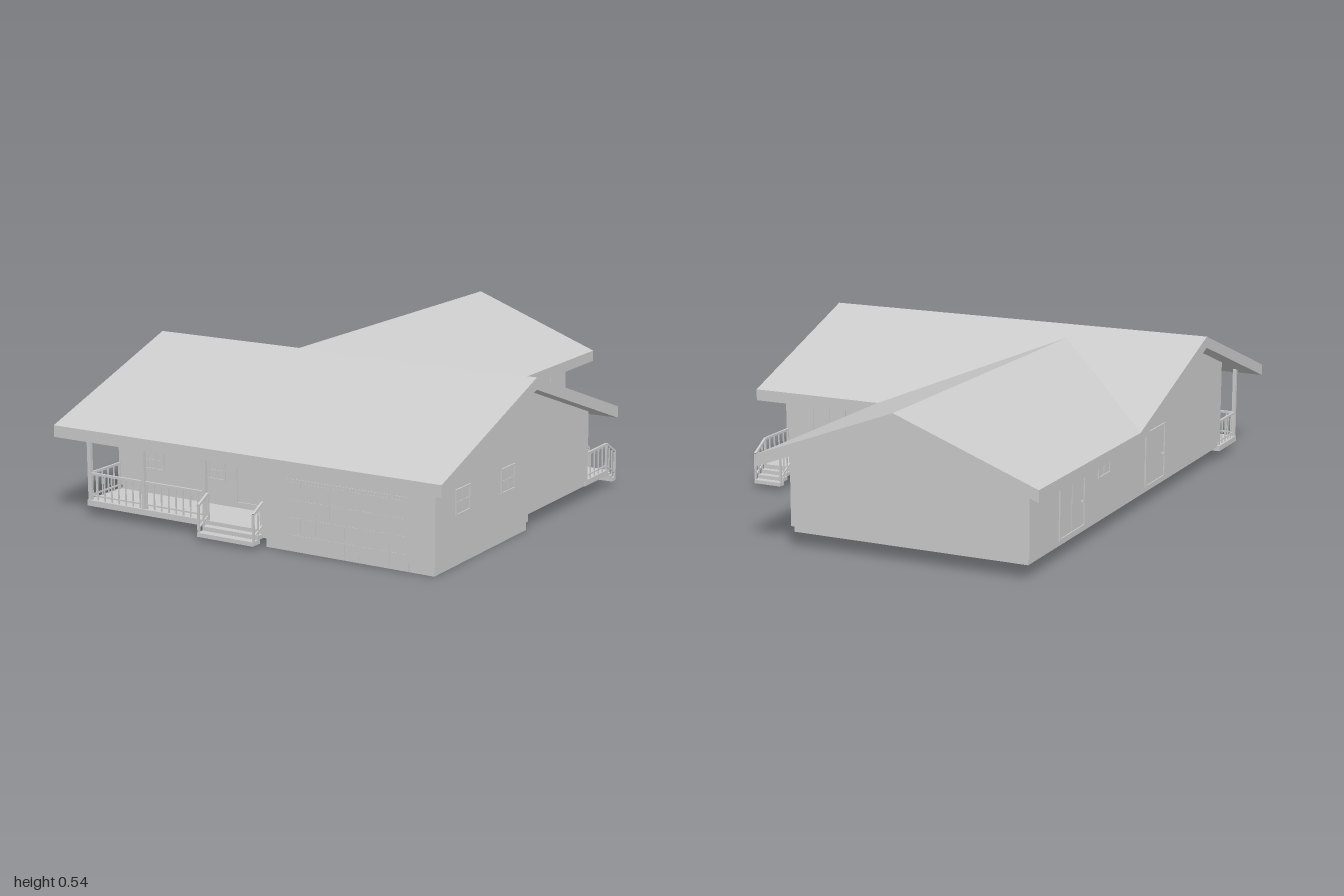
import * as THREE from 'three';

const V = (x, y, z) => new THREE.Vector3(x, y, z);
const mat = new THREE.MeshStandardMaterial({ color: 0xcccccc, flatShading: true });
// the whole plan leans very slightly: x shifts with z
const lean = new THREE.Matrix4().set(1, 0, -0.008, 0, 0, 1, 0, 0, 0, 0, 1, 0, 0, 0, 0, 1);

// roof undersides
const underFront = z => 0.495 - 0.358 * Math.abs(z - 0.4);
const RIDGE = -0.249;
const underRear = x => 0.465 - 0.376 * Math.abs(x - RIDGE);

function add(parent, name, geo) {
  geo.applyMatrix4(lean);
  geo.computeVertexNormals();
  const m = new THREE.Mesh(geo, mat);
  m.name = name;
  parent.add(m);
  return m;
}

function group(parent, name) {
  const g = new THREE.Group();
  g.name = name;
  parent.add(g);
  return g;
}

// box given by its limits
function boxGeo(x0, x1, y0, y1, z0, z1) {
  return new THREE.BoxGeometry(x1 - x0, y1 - y0, z1 - z0)
    .translate((x0 + x1) / 2, (y0 + y1) / 2, (z0 + z1) / 2);
}
const box = (p, name, ...lim) => add(p, name, boxGeo(...lim));

// square bar between two points
function bar(p, name, a, b, t) {
  const d = b.clone().sub(a);
  const geo = new THREE.BoxGeometry(t, t, d.length());
  const m = new THREE.Matrix4().lookAt(b, a, Math.abs(d.y) > 0.99 * d.length() ? V(0, 0, 1) : V(0, 1, 0));
  geo.applyMatrix4(m.setPosition(a.clone().add(b).multiplyScalar(0.5)));
  return add(p, name, geo);
}

function extrude(pts, depth) {
  const s = new THREE.Shape(pts.map(q => new THREE.Vector2(q[0], q[1])));
  return new THREE.ExtrudeGeometry(s, { depth, bevelEnabled: false });
}
// (z, y) profile swept along x
const sweepX = (pts, x0, x1) =>
  extrude(pts.map(([z, y]) => [-z, y]), x1 - x0).rotateY(Math.PI / 2).translate(x0, 0, 0);
// (x, y) profile swept along z
const sweepZ = (pts, z0, z1) => extrude(pts, z1 - z0).translate(0, 0, z0);

// window or door laid on a wall; u runs along the wall, turn is the wall's facing angle
function opening(parent, name, turn, at, u, y0, y1, w, cols, rows, knob) {
  const g = group(parent, name);
  const place = geo => {
    geo.rotateY(turn);
    const c = Math.cos(turn), s = Math.sin(turn);
    return geo.translate(s * at + Math.abs(c) * u, 0, c * at + Math.abs(s) * u);
  };
  const piece = (n, ...l) => add(g, n, place(boxGeo(...l)));
  const h = w / 2, t = 0.006;
  piece('pane', -h, h, y0, y1, -0.004, 0.001);
  for (const s of [-1, 1]) piece('jamb', s * h - t / 2, s * h + t / 2, y0, y1, -0.004, 0.005);
  piece('head', -h, h, y1 - t, y1, -0.004, 0.005);
  piece('sill', -h, h, y0, y0 + t, -0.004, 0.005);
  for (let i = 1; i < cols; i++) {
    const x = -h + (w * i) / cols;
    piece('muntin', x - 0.0015, x + 0.0015, y0, y1, -0.004, 0.003);
  }
  for (let i = 1; i < rows; i++) {
    const y = y0 + ((y1 - y0) * i) / rows;
    piece('muntin', -h, h, y - 0.0015, y + 0.0015, -0.004, 0.003);
  }
  if (knob) piece('knob', h * 0.75, h * 0.75 + 0.008, 0.155, 0.163, 0, 0.01);
}

// railing between two floor points, level or sloping
function railing(parent, name, a, b, height) {
  const g = group(parent, name);
  const up = (p, h) => V(p.x, p.y + h, p.z);
  bar(g, 'topRail', up(a, height), up(b, height), 0.008);
  bar(g, 'bottomRail', up(a, 0.015), up(b, 0.015), 0.005);
  const n = Math.max(2, Math.round(a.distanceTo(b) / 0.03));
  for (let i = 0; i <= n; i++) {
    const p = a.clone().lerp(b, i / n);
    bar(g, 'baluster', p, up(p, height), i % n ? 0.004 : 0.007);
  }
}

export function createModel() {
  const house = new THREE.Group();
  house.name = 'house';

  // walls
  const walls = group(house, 'walls');
  add(walls, 'garageWing', sweepX([[0.92, 0.03], [0.32, 0.03], [0.32, 0.07], [-0.11, 0.07],
    [-0.11, underFront(-0.11)], [0.4, 0.495], [0.92, underFront(0.92)]], 0.035, 0.668));
  add(walls, 'livingWing', sweepX([[0.75, 0.07], [-0.11, 0.07],
    [-0.11, underFront(-0.11)], [0.4, 0.495], [0.75, underFront(0.75)]], -0.672, 0.036));
  add(walls, 'rearWing', sweepZ([[-0.672, 0.07], [0.17, 0.07], [0.17, underRear(0.17)],
    [RIDGE, 0.465], [-0.672, underRear(-0.672)]], -0.915, -0.1));

  // foundations
  const base = group(house, 'foundation');
  box(base, 'garageSlab', 0.042, 0.661, 0, 0.031, 0.32, 0.914);
  box(base, 'frontFoundation', -0.665, 0.661, 0.05, 0.071, -0.103, 0.745);
  box(base, 'rearFoundation', -0.665, 0.163, 0.05, 0.071, -0.907, -0.1);

  // front roof runs along x
  const roof = group(house, 'roof');
  add(roof, 'frontRoof', sweepX([[1, 0.28], [1, 0.32], [0.4, 0.535], [-0.2, 0.32],
    [-0.2, 0.28], [0.4, 0.495]], -0.741, 0.735));
  // rear roof runs along z, its front end mitred into the valley
  const half = 0.4925;
  const rear = sweepZ([[RIDGE - half, 0.28], [RIDGE - half, 0.32], [RIDGE, 0.505],
    [RIDGE + half, 0.32], [RIDGE + half, 0.28], [RIDGE, 0.465]], -1, 0);
  const pos = rear.attributes.position;
  for (let i = 0; i < pos.count; i++) {
    if (pos.getZ(i) > -0.5) pos.setZ(i, 0.3 - 0.5 * Math.abs(pos.getX(i) - RIDGE) / half);
  }
  add(roof, 'rearRoof', rear);

  // garage door with raised panels
  const garage = group(house, 'garageDoor');
  box(garage, 'doorLeaf', 0.125, 0.575, 0.003, 0.24, 0.9, 0.922);
  for (let r = 0; r < 4; r++) {
    for (let c = 0; c < 8; c++) {
      const x = 0.135 + c * 0.0545, y = 0.013 + r * 0.057;
      box(garage, 'doorPanel', x, x + 0.045, y, y + 0.045, 0.92, 0.9232);
    }
  }

  // windows and doors
  const fit = group(house, 'windowsAndDoors');
  const Q = Math.PI / 2;
  opening(fit, 'frontWindow', 0, 0.75, -0.53, 0.14, 0.275, 0.095, 3, 4);
  opening(fit, 'frontWindow', 0, 0.75, -0.28, 0.14, 0.275, 0.095, 3, 4);
  opening(fit, 'frontDoor', 0, 0.75, -0.09, 0.072, 0.275, 0.19, 2, 1, true);
  for (const z of [0.755, 0.465]) opening(fit, 'garageWindow', Q, 0.668, z, 0.165, 0.25, 0.085, 2, 2);
  for (const z of [-0.305, -0.74]) opening(fit, 'rearWingWindow', Q, 0.17, z, 0.15, 0.275, 0.095, 2, 2);
  opening(fit, 'patioDoor', Math.PI, 0.11, 0.49, 0.072, 0.27, 0.13, 2, 1, true);
  opening(fit, 'backWindow', Math.PI, 0.11, 0.3, 0.15, 0.27, 0.12, 3, 3);
  opening(fit, 'sideDoor', -Q, 0.672, -0.6, 0.072, 0.265, 0.19, 2, 1, true);
  opening(fit, 'sideWindow', -Q, 0.672, -0.345, 0.2, 0.25, 0.09, 2, 1);
  opening(fit, 'sideDoor', -Q, 0.672, 0.1, 0.072, 0.265, 0.17, 1, 1, true);

  // front porch
  const porch = group(house, 'frontPorch');
  box(porch, 'porchFloor', -0.675, 0.036, 0.035, 0.055, 0.74, 0.92);
  for (const x of [-0.667, -0.445, -0.198, 0.026]) {
    bar(porch, 'post', V(x, 0.05, 0.91), V(x, 0.312, 0.91), 0.013);
  }
  railing(porch, 'frontRailing', V(-0.667, 0.055, 0.91), V(-0.198, 0.055, 0.91), 0.09);
  railing(porch, 'sideRailing', V(-0.667, 0.055, 0.755), V(-0.667, 0.055, 0.91), 0.09);
  box(porch, 'upperStep', -0.185, 0.032, 0.028, 0.042, 0.915, 0.946);
  box(porch, 'lowerStep', -0.185, 0.032, 0.014, 0.028, 0.935, 0.975);
  for (const x of [-0.183, 0.03]) railing(porch, 'stepRailing', V(x, 0.055, 0.915), V(x, 0.027, 0.968), 0.09);

  // back deck in the inner corner
  const deck = group(house, 'backDeck');
  box(deck, 'deckFloor', 0.405, 0.665, 0.05, 0.07, -0.275, -0.1);
  railing(deck, 'rightRailing', V(0.66, 0.07, -0.115), V(0.66, 0.07, -0.27), 0.092);
  railing(deck, 'leftRailing', V(0.41, 0.07, -0.115), V(0.41, 0.07, -0.27), 0.092);
  railing(deck, 'backRailing', V(0.41, 0.07, -0.27), V(0.556, 0.07, -0.27), 0.092);
  for (let i = 0; i < 3; i++) {
    const z = -0.27 - i * 0.024, y = 0.055 - i * 0.013;
    box(deck, 'step', 0.556, 0.662, y - 0.013, y, z - 0.027, z);
  }
  for (const x of [0.558, 0.66]) railing(deck, 'stepRailing', V(x, 0.07, -0.27), V(x, 0.03, -0.338), 0.092);

  return house;
}
